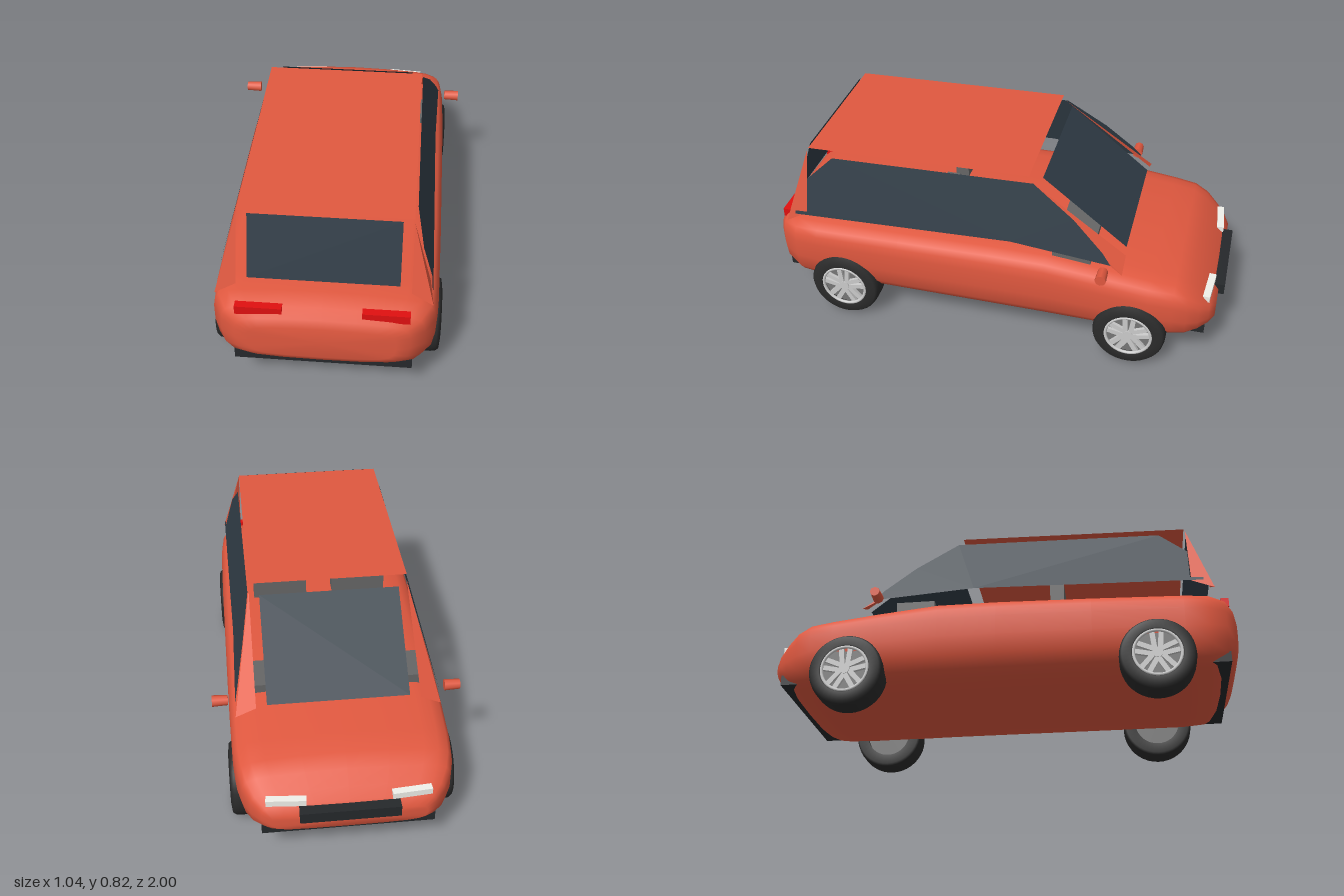
import * as THREE from 'three';

const mat = (color, side = THREE.FrontSide) => new THREE.MeshStandardMaterial({ color, side });
const paint = mat(0xe0583f), paintSheet = mat(0xe0583f, THREE.DoubleSide);
const glass = mat(0x303c46, THREE.DoubleSide), rubber = mat(0x2b2b2b), trim = mat(0x25282b);
const seatGrey = mat(0x666666), alloy = mat(0xcccccc), red = mat(0xe01010), white = mat(0xf0f0ea);

export function createModel() {
  const car = new THREE.Group();
  car.name = 'car';

  const add = (name, geometry, material, parent = car) => {
    const m = new THREE.Mesh(geometry, material);
    m.name = name;
    parent.add(m);
    return m;
  };
  // box given by its x, y and z ranges
  const box = (name, [x0, x1], [y0, y1], [z0, z1], material) => {
    const m = add(name, new THREE.BoxGeometry(Math.abs(x1 - x0), y1 - y0, z1 - z0), material);
    m.position.set((x0 + x1) / 2, (y0 + y1) / 2, (z0 + z1) / 2);
    return m;
  };
  // thin sheet: a fan of triangles over an outline
  const sheet = (name, pts, material) => {
    const flat = [];
    for (let i = 1; i < pts.length - 1; i++) flat.push(...pts[0], ...pts[i], ...pts[i + 1]);
    const g = new THREE.BufferGeometry();
    g.setAttribute('position', new THREE.Float32BufferAttribute(flat, 3));
    g.computeVertexNormals();
    return add(name, g, material);
  };

  add('body', bodyGeometry(), paint);

  // roof, windscreen and rear window
  sheet('roof', [[-0.337, 0.795, 0.81], [0.337, 0.795, 0.81], [0.337, 0.816, -0.16], [-0.337, 0.816, -0.16]], paintSheet);
  sheet('windscreen', [[-0.295, 0.5, -0.575], [-0.295, 0.79, -0.21], [0.295, 0.79, -0.21], [0.295, 0.5, -0.575]], glass);
  sheet('rearWindow', [[-0.295, 0.535, 0.9], [0.295, 0.535, 0.9], [0.295, 0.79, 0.82], [-0.295, 0.79, 0.82]], glass);

  // side window outline as z, y; it leans inwards towards the roof
  const windowOutline = [[-0.1, 0.525], [-0.38, 0.51], [-0.53, 0.49], [-0.49, 0.54], [-0.36, 0.66], [-0.18, 0.787],
    [0.7, 0.767], [0.815, 0.66], [0.815, 0.512], [0.87, 0.51], [0.87, 0.495], [0.8, 0.5]];
  const lean = y => 0.42 - (y - 0.5) * 0.27;

  for (const s of [1, -1]) {
    const side = s > 0 ? 'left' : 'right';
    sheet(side + 'SideWindow', windowOutline.map(([z, y]) => [s * lean(y), y, z]), glass);
    sheet(side + 'FrontPillar', [[s * 0.337, 0.79, -0.17], [s * 0.34, 0.49, -0.58], [s * 0.425, 0.45, -0.58],
      [s * 0.41, 0.5, -0.5]], paintSheet);
    sheet(side + 'RearPillar', [[s * 0.337, 0.787, 0.815], [s * 0.34, 0.5, 0.9], [s * 0.425, 0.455, 0.912],
      [s * 0.41, 0.5, 0.82]], paintSheet);

    // lamps, mirror and seat
    box(side + 'TailLight', [s * 0.155, s * 0.34], [0.406, 0.445], [0.94, 0.972], red);
    const lamp = box(side + 'Headlight', [s * 0.17, s * 0.33], [0.302, 0.33], [-0.952, -0.922], white);
    lamp.rotation.y = -s * 0.08;
    const mirror = add(side + 'Mirror', new THREE.CylinderGeometry(0.021, 0.024, 0.066, 8), paint);
    mirror.rotation.z = Math.PI / 2;
    mirror.position.set(s * 0.485, 0.481, -0.505);
    box(side + 'SeatBack', [s * 0.06, s * 0.305], [0.3, 0.58], [0.22, 0.28], seatGrey);

    for (const z of [0.66, -0.63]) {
      const w = wheel(add);
      w.name = side + (z < 0 ? 'FrontWheel' : 'RearWheel');
      w.position.set(s * 0.4, 0.157, z);
      w.rotation.y = s > 0 ? 0 : Math.PI;
      car.add(w);
    }
  }

  // dashboard, steering wheel and bumpers
  box('dashboard', [-0.38, 0.38], [0.42, 0.492], [-0.44, -0.275], seatGrey);
  const steering = add('steeringWheel', new THREE.TorusGeometry(0.095, 0.009, 8, 28), trim);
  steering.position.set(-0.18, 0.43, -0.2);
  steering.rotation.x = 0.2;
  box('frontBumper', [-0.2, 0.2], [0.25, 0.3], [-1, -0.93], trim);
  box('rearBumper', [-0.355, 0.355], [0.147, 0.193], [0.86, 0.96], trim);
  box('frontSkirt', [-0.35, 0.35], [0.145, 0.19], [-0.94, -0.86], trim);
  return car;
}

// body shell lofted through rounded sections
function bodyGeometry() {
  // half section as width and height fractions, bottom to top
  const half = [[0, 0], [0.45, 0.01], [0.75, 0.045], [0.89, 0.11], [0.97, 0.24], [1, 0.45], [1, 0.68],
    [0.985, 0.79], [0.95, 0.87], [0.86, 0.925], [0.73, 0.955], [0.4, 0.985], [0, 1]];
  const ring = [...half, ...half.slice(1, -1).reverse().map(([u, v]) => [-u, v])];
  // z, half width, bottom, top
  const stations = [[1, 0, 0.3, 0.3], [1, 0.29, 0.22, 0.375], [0.985, 0.345, 0.19, 0.41], [0.95, 0.4, 0.155, 0.445],
    [0.88, 0.44, 0.122, 0.463], [0.78, 0.449, 0.115, 0.468], [0.4, 0.452, 0.115, 0.48], [0, 0.452, 0.115, 0.49],
    [-0.25, 0.452, 0.115, 0.49], [-0.5, 0.451, 0.115, 0.462], [-0.7, 0.448, 0.115, 0.436], [-0.8, 0.437, 0.115, 0.424],
    [-0.86, 0.42, 0.12, 0.393], [-0.91, 0.39, 0.14, 0.347], [-0.95, 0.35, 0.165, 0.31], [-0.975, 0.31, 0.19, 0.275],
    [-0.975, 0, 0.23, 0.23]];
  const pos = [], index = [], n = ring.length;
  stations.forEach(([z, w, y0, y1], i) => {
    ring.forEach(([u, v], j) => {
      pos.push(u * w, y0 + v * (y1 - y0), z);
      if (i === stations.length - 1) return;
      const a = i * n + j, b = i * n + (j + 1) % n;
      index.push(a, a + n, b, b, a + n, b + n);
    });
  });
  const g = new THREE.BufferGeometry();
  g.setAttribute('position', new THREE.Float32BufferAttribute(pos, 3));
  g.setIndex(index);
  g.computeVertexNormals();
  return g;
}

// wheel with its outer face towards +x
function wheel(add) {
  const g = new THREE.Group();
  const profile = [[0.1, -0.06], [0.145, -0.065], [0.154, -0.055], [0.157, -0.03], [0.157, 0.03], [0.154, 0.05],
    [0.145, 0.062], [0.108, 0.067], [0.1, 0.06], [0.1, 0.02], [0.1, -0.06]];
  const tyre = add('tyre', new THREE.LatheGeometry(profile.map(p => new THREE.Vector2(...p)), 40), rubber, g);
  tyre.rotation.z = -Math.PI / 2;
  const disc = add('wheelDisc', new THREE.CylinderGeometry(0.1, 0.1, 0.09, 32), mat(0x777777), g);
  disc.rotation.z = Math.PI / 2;
  const rim = add('rim', new THREE.TorusGeometry(0.098, 0.007, 8, 36), alloy, g);
  rim.rotation.y = Math.PI / 2;
  rim.position.x = 0.06;
  const hub = add('hub', new THREE.CylinderGeometry(0.02, 0.022, 0.02, 20), alloy, g);
  hub.rotation.z = Math.PI / 2;
  hub.position.x = 0.053;
  // five pairs of spokes
  for (let k = 0; k < 5; k++) {
    const pair = new THREE.Group();
    pair.name = 'spokePair';
    pair.rotation.x = (k * 2 * Math.PI) / 5;
    g.add(pair);
    for (const s of [1, -1]) {
      const spoke = add('spoke', new THREE.BoxGeometry(0.018, 0.088, 0.021), alloy, pair);
      spoke.position.set(0.05, 0.054, s * 0.015);
      spoke.rotation.x = s * 0.1;
    }
  }
  return g;
}
